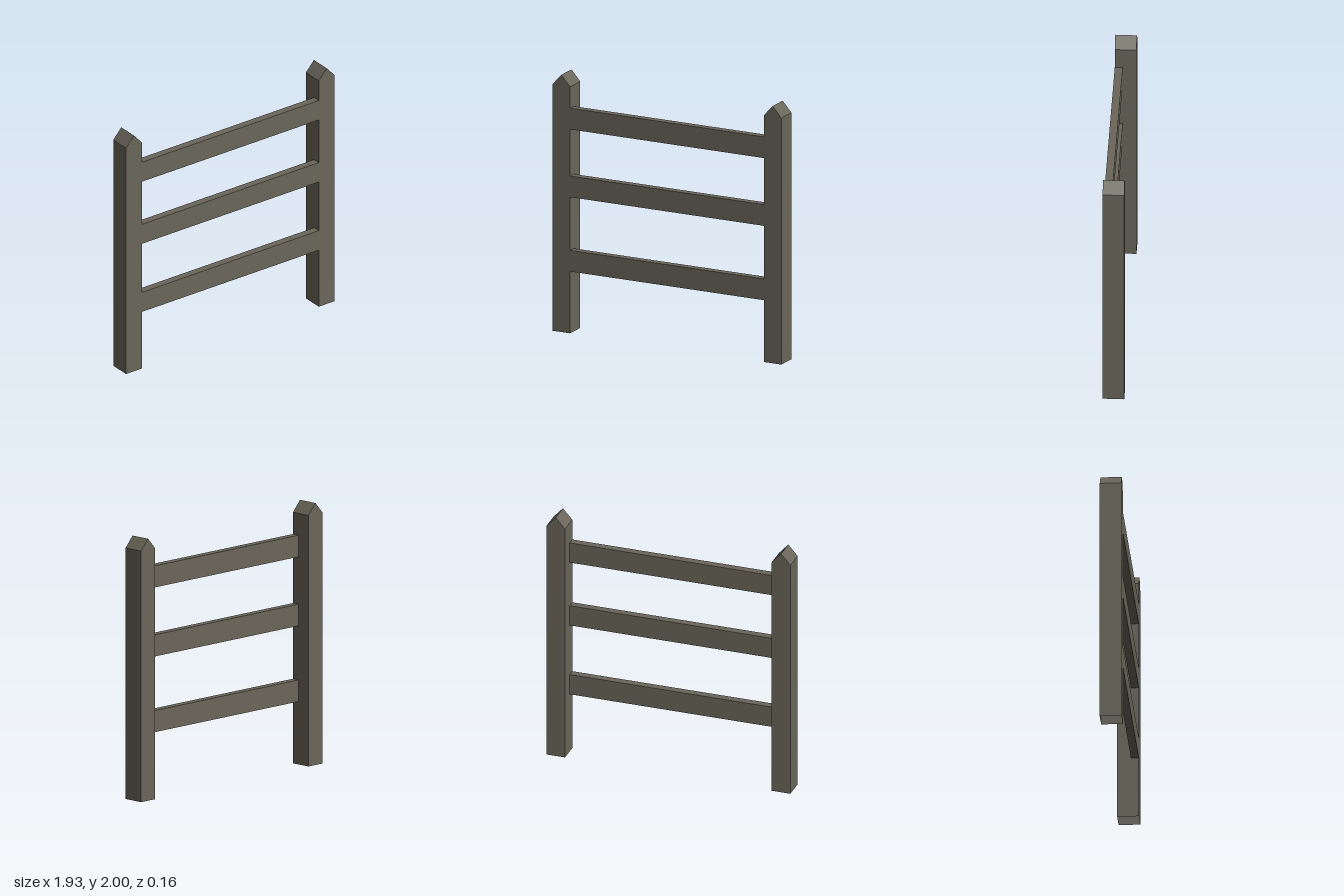
import * as THREE from 'three';

const POST_X = 0.892, POST_HALF = 0.074, DEPTH = 0.162;
const SHOULDER = 1.917, TOP = 2;
const RAIL_HEIGHT = 0.165, RAIL_DEPTH = 0.059;

// Post with a gabled top, hollow and open underneath
function postGeometry() {
  const outline = new THREE.Shape([
    [POST_HALF, 0], [POST_HALF, SHOULDER], [0, TOP], [-POST_HALF, SHOULDER], [-POST_HALF, 0],
  ].map(([x, y]) => new THREE.Vector2(x, y)));
  const solid = new THREE.ExtrudeGeometry(outline, { depth: DEPTH, bevelEnabled: false });
  solid.translate(0, 0, -DEPTH / 2);

  // Drop the triangles of the bottom face
  const p = solid.attributes.position, kept = [];
  for (let i = 0; i < p.count; i += 3) {
    if (Math.max(p.getY(i), p.getY(i + 1), p.getY(i + 2)) < 1e-6) continue;
    for (let k = i; k < i + 3; k++) kept.push(p.getX(k), p.getY(k), p.getZ(k));
  }
  const open = new THREE.BufferGeometry();
  open.setAttribute('position', new THREE.Float32BufferAttribute(kept, 3));
  open.computeVertexNormals();
  return open;
}

export function createModel() {
  const fence = new THREE.Group();
  fence.name = 'fenceSection';

  const wood = new THREE.MeshStandardMaterial({ color: 0x6a665a, side: THREE.DoubleSide });
  wood.name = 'weatheredWood';

  // Two posts
  const post = postGeometry();
  for (const [name, side] of [['leftPost', 1], ['rightPost', -1]]) {
    const mesh = new THREE.Mesh(post, wood);
    mesh.name = name;
    mesh.position.x = side * POST_X;
    fence.add(mesh);
  }

  // Three rails between the posts, flush with their front faces
  const rail = new THREE.BoxGeometry(2 * (POST_X - POST_HALF), RAIL_HEIGHT, RAIL_DEPTH);
  for (const [name, y] of [['lowerRail', 0.563], ['middleRail', 1.141], ['upperRail', 1.668]]) {
    const mesh = new THREE.Mesh(rail, wood);
    mesh.name = name;
    mesh.position.set(0, y, (DEPTH - RAIL_DEPTH) / 2);
    fence.add(mesh);
  }
  return fence;
}
